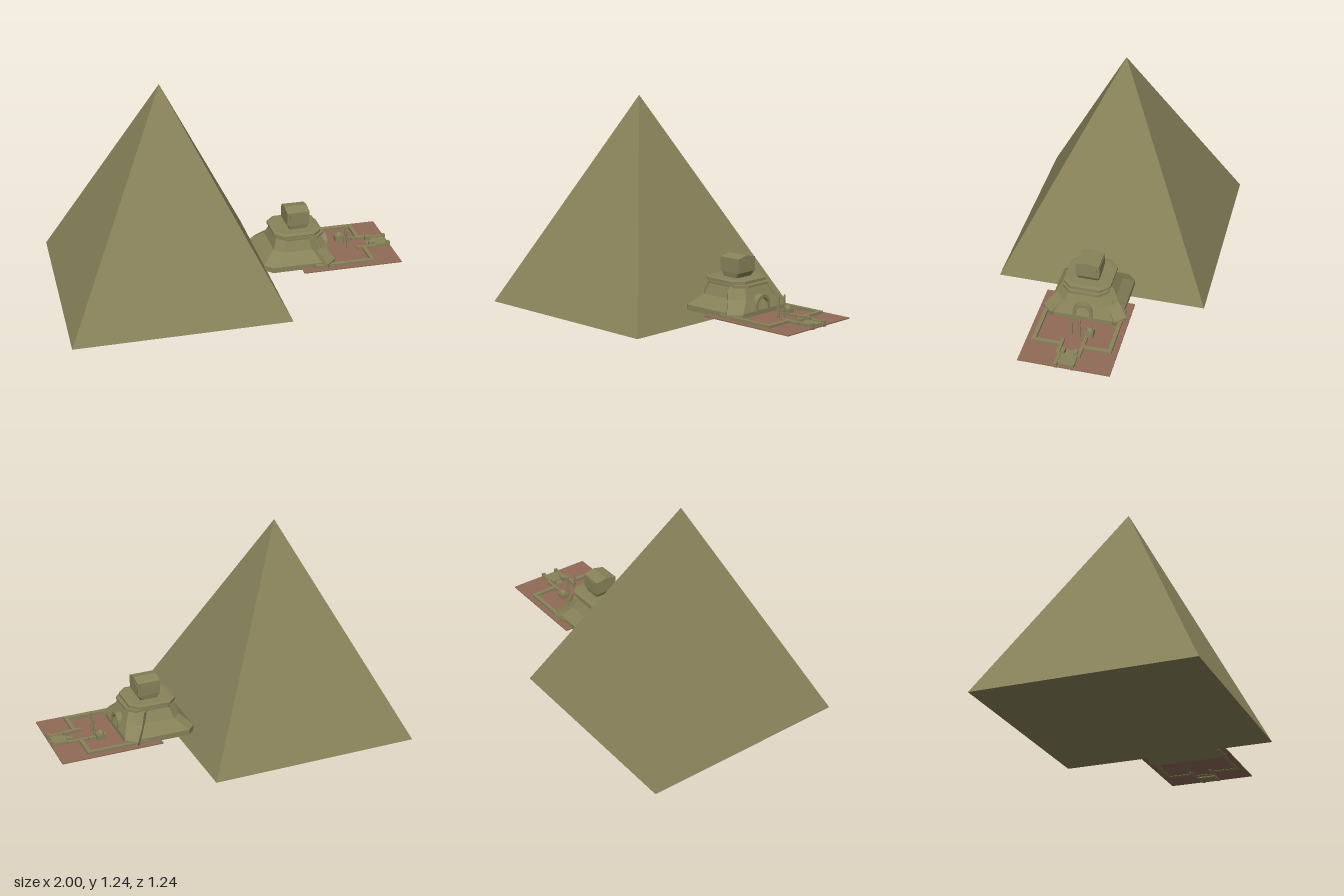
import * as THREE from 'three';

const stone = new THREE.MeshStandardMaterial({ color: 0x89835a });
stone.name = 'olive stone';
const clay = new THREE.MeshStandardMaterial({ color: 0x906b56 });
clay.name = 'clay ground';

// Chamfered rectangle, counter-clockwise from above
function octagon([x0, x1, z0, z1, c, y]) {
  return [[x1, z1 - c], [x1, z0 + c], [x1 - c, z0], [x0 + c, z0],
    [x0, z0 + c], [x0, z1 - c], [x0 + c, z1], [x1 - c, z1]].map(([x, z]) => [x, y, z]);
}

// Closed faceted solid through rings listed from bottom to top
function loft(rings) {
  const pos = [], n = rings[0].length;
  for (let r = 0; r < rings.length - 1; r++) {
    const a = rings[r], b = rings[r + 1];
    for (let i = 0; i < n; i++) {
      const j = (i + 1) % n;
      pos.push(...a[i], ...a[j], ...b[j], ...a[i], ...b[j], ...b[i]);
    }
  }
  const lo = rings[0], hi = rings[rings.length - 1];
  for (let i = 1; i < n - 1; i++) {
    pos.push(...hi[0], ...hi[i], ...hi[i + 1], ...lo[0], ...lo[i + 1], ...lo[i]);
  }
  const g = new THREE.BufferGeometry();
  g.setAttribute('position', new THREE.Float32BufferAttribute(pos, 3));
  g.computeVertexNormals();
  return g;
}

// Profile in (-z, y), extruded along +x
function extrudeX(shape, x, length, z = 0) {
  const g = new THREE.ExtrudeGeometry(shape, { depth: length, bevelEnabled: false, curveSegments: 8 });
  return g.rotateY(Math.PI / 2).translate(x, 0, z);
}

export function createModel() {
  const model = new THREE.Group();
  model.name = 'pyramid with temple';
  const add = (name, geo, mat = stone, parent = model) => {
    const m = new THREE.Mesh(geo, mat);
    m.name = name;
    parent.add(m);
    return m;
  };
  const box = (name, x0, x1, y0, y1, z0, z1, mat, parent) =>
    add(name, new THREE.BoxGeometry(x1 - x0, y1 - y0, z1 - z0)
      .translate((x0 + x1) / 2, (y0 + y1) / 2, (z0 + z1) / 2), mat, parent);
  const group = (name) => {
    const g = new THREE.Group();
    g.name = name;
    model.add(g);
    return g;
  };

  // Great pyramid
  const pyramid = new THREE.ConeGeometry(0.62 * Math.SQRT2, 1.24, 4).toNonIndexed();
  pyramid.rotateY(Math.PI / 4).translate(-0.38, 0.62, 0);
  pyramid.computeVertexNormals();
  add('pyramid', pyramid);

  // Ground under the courtyard
  box('courtyardGround', 0.405, 1, 0.09, 0.096, -0.248, 0.272, clay);

  // Stepped temple body
  const temple = group('temple');
  add('templeBody', loft([
    [0.185, 0.605, -0.205, 0.22, 0.045, 0.088],
    [0.185, 0.605, -0.205, 0.22, 0.045, 0.12],
    [0.258, 0.575, -0.15, 0.165, 0.045, 0.185],
    [0.28, 0.545, -0.115, 0.14, 0.045, 0.255],
  ].map(octagon)), stone, temple);
  add('lowerCornice', loft([
    [0.275, 0.565, -0.12, 0.145, 0.05, 0.245],
    [0.275, 0.565, -0.12, 0.145, 0.05, 0.258],
  ].map(octagon)), stone, temple);
  add('upperCornice', loft([
    [0.265, 0.545, -0.125, 0.148, 0.05, 0.262],
    [0.265, 0.545, -0.125, 0.148, 0.05, 0.278],
    [0.285, 0.525, -0.105, 0.128, 0.045, 0.282],
  ].map(octagon)), stone, temple);

  // Diagonal corner buttresses beside the entrance
  for (const s of [-1, 1]) {
    const ring = (inner, outer, half, y) => {
      const k = Math.SQRT1_2;
      const p = [[inner, half], [outer, half], [outer, -half], [inner, -half]]
        .map(([d, w]) => [0.48 + (d - w) * k, y, 0.008 + s * (0.11 + (d + w) * k)]);
      return s > 0 ? p : p.reverse();
    };
    add('cornerButtress', loft([
      ring(-0.05, 0.145, 0.042, 0.088), ring(-0.05, 0.145, 0.042, 0.12),
      ring(-0.05, 0.065, 0.034, 0.185), ring(-0.05, 0.03, 0.03, 0.25),
    ]), stone, temple);
  }

  // Vaulted entrance
  const arch = new THREE.Shape();
  arch.moveTo(-0.057, 0.09);
  arch.lineTo(-0.04, 0.09);
  arch.lineTo(-0.04, 0.145);
  arch.absarc(0, 0.145, 0.04, Math.PI, 0, true);
  arch.lineTo(0.04, 0.09);
  arch.lineTo(0.057, 0.09);
  arch.lineTo(0.057, 0.145);
  arch.absarc(0, 0.145, 0.057, 0, Math.PI, false);
  add('entranceArch', extrudeX(arch, 0.52, 0.085, 0.01), stone, temple);

  // Lookout block with gabled roof and window panels
  const lookout = group('lookout');
  add('lookoutFoot', loft([
    [0.365, 0.465, -0.05, 0.075, 0.01, 0.28],
    [0.35, 0.483, -0.055, 0.08, 0.005, 0.312],
  ].map(octagon)), stone, lookout);
  const gable = new THREE.Shape([[-0.08, 0.31], [0.055, 0.31], [0.055, 0.39], [-0.0125, 0.405], [-0.08, 0.39]]
    .map(([u, y]) => new THREE.Vector2(u, y)));
  add('lookoutBlock', extrudeX(gable, 0.348, 0.135), stone, lookout);
  for (const s of [-1, 1]) {
    const w = new THREE.Shape([[0.014, 0.35], [0.056, 0.35], [0.056, 0.372], [0.014, 0.383]]
      .map(([u, y]) => new THREE.Vector2(s * u, y)));
    add('windowPanel', extrudeX(w, 0.481, 0.005, 0.0125), stone, lookout);
    const z = 0.0125 + s * 0.0675;
    box('sidePanel', 0.368, 0.465, 0.325, 0.38, z - 0.003, z + 0.003, stone, lookout);
  }

  // Courtyard walls with an opening to the gate
  const yard = group('courtyard');
  for (const [z0, z1] of [[-0.215, -0.193], [0.217, 0.239]]) {
    box('sideWall', 0.48, 0.842, 0.088, 0.112, z0, z1, stone, yard);
  }
  for (const [z0, z1] of [[-0.195, -0.05], [0.07, 0.219]]) {
    box('frontWall', 0.82, 0.842, 0.088, 0.112, z0, z1, stone, yard);
  }

  // Gate passage and landing platform
  for (const z of [-0.05, 0.07]) {
    box('gateWall', 0.79, 0.91, 0.088, 0.112, z - 0.009, z + 0.009, stone, yard);
    box('gatePost', 0.87, 0.905, 0.088, 0.124, z * 0.6 - 0.01, z * 0.6 + 0.012, stone, yard);
  }
  box('landing', 0.895, 0.985, 0.083, 0.106, -0.045, 0.068, stone, yard);
  for (const z of [-0.035, 0.058]) {
    box('landingRail', 0.9, 0.98, 0.1, 0.112, z - 0.008, z + 0.008, stone, yard);
    box('endPost', 0.978, 0.998, 0.085, 0.12, z - 0.01, z + 0.01, stone, yard);
  }
  box('gateStep', 0.86, 0.9, 0.088, 0.1, -0.012, 0.03, stone, yard);

  // Pair of obelisks
  for (const z of [-0.011, 0.037]) {
    add('obelisk', loft([
      [0.731, 0.743, z - 0.006, z + 0.006, 0.001, 0.09],
      [0.733, 0.741, z - 0.004, z + 0.004, 0.001, 0.215],
      [0.7365, 0.7375, z - 0.0005, z + 0.0005, 0.0001, 0.225],
    ].map(octagon)), stone, yard);
  }

  // Small domed shrine and its low wall
  box('shrine', 0.69, 0.742, 0.09, 0.13, -0.085, -0.042, stone, yard);
  const dome = new THREE.SphereGeometry(0.021, 12, 6, 0, Math.PI * 2, 0, Math.PI / 2);
  add('shrineDome', dome.translate(0.716, 0.13, -0.063), stone, yard);
  box('shrineStep', 0.742, 0.785, 0.09, 0.112, -0.06, -0.042, stone, yard);

  return model;
}
